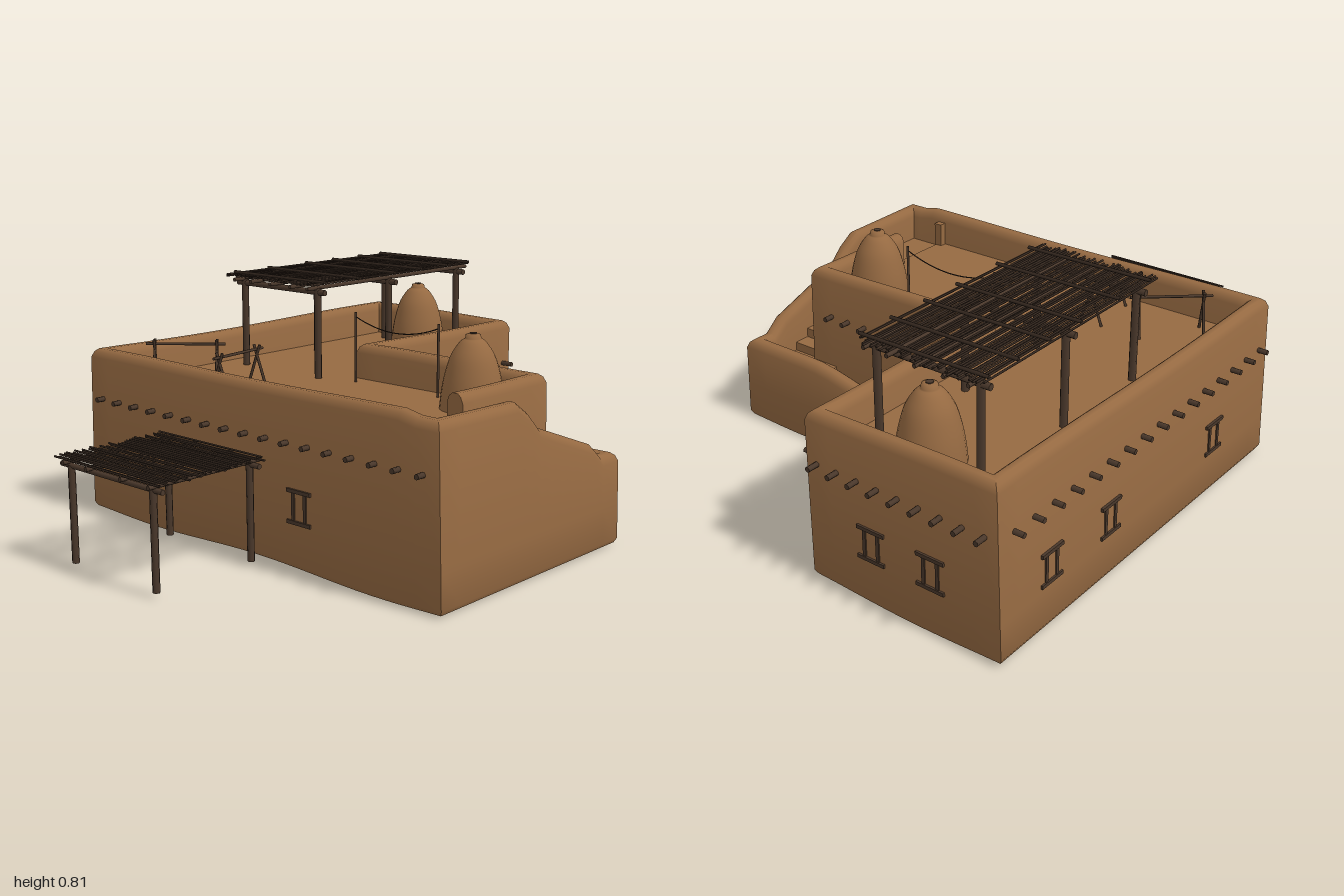
import * as THREE from 'three';
import { toCreasedNormals } from 'three/addons/utils/BufferGeometryUtils.js';

const mat = (name, color) => {
  const m = new THREE.MeshStandardMaterial({ color });
  m.name = name;
  return m;
};
const adobe = mat('adobe', 0x966a42);
const wood = mat('dark wood', 0x4a382b);
const twig = mat('dark twigs', 0x35281f);
const doorWood = mat('door wood', 0x614b3b);

const ROOF = 0.465;
let seed = 7;
const rand = () => (seed = (seed * 16807) % 2147483647) / 2147483647;
const jit = (a) => (rand() * 2 - 1) * a;

function add(parent, name, geo, material, x = 0, y = 0, z = 0) {
  const m = new THREE.Mesh(geo, material);
  m.name = name;
  m.position.set(x, y, z);
  parent.add(m);
  return m;
}
function group(parent, name) {
  const g = new THREE.Group();
  g.name = name;
  parent.add(g);
  return g;
}
// Box given by its minimum and maximum corners
function block(parent, name, a, b, material = adobe) {
  const s = b.map((v, i) => v - a[i]);
  return add(parent, name, new THREE.BoxGeometry(...s), material, ...a.map((v, i) => v + s[i] / 2));
}
// Round pole between two points
function pole(parent, name, a, b, r, material = wood, sides = 7) {
  const p = new THREE.Vector3(...a), d = new THREE.Vector3(...b).sub(p);
  const m = add(parent, name, new THREE.CylinderGeometry(r, r, d.length(), sides), material);
  m.position.copy(p).addScaledVector(d, 0.5);
  m.quaternion.setFromUnitVectors(new THREE.Vector3(0, 1, 0), d.normalize());
  return m;
}

// Height of the wall top: level parapet, sloping down beside the stairs
function wallTop(x, z) {
  const wave = 0.006 * Math.sin(5 * x + 1.5) * Math.cos(4 * z);
  if (z < -0.28 && x > 0.1) return 0.26 + 0.055 * THREE.MathUtils.smoothstep(x, 0.15, 0.5) + wave * 0.5;
  if (x > 0.69 && z < 0.15) {
    const t = (0.15 - z) / 0.5;
    return 0.565 - 0.06 * THREE.MathUtils.smoothstep(t, 0, 0.2) - 0.185 * Math.min(t, 1);
  }
  return (x > 0.69 ? 0.57 : 0.582) + wave;
}
// Uneven foot of the walls
const wallFoot = (x) => 0.012 + 0.008 * Math.cos(2 * Math.PI * (x - 0.05));

// Rounded wall section swept along the plan of the house
function wallGeometry() {
  const plan = [[0.6, 0.23], [0.6, -0.17], [-0.11, -0.17], [-0.11, -0.93], [-0.74, -0.93],
    [-0.74, 0.505], [0.76, 0.505], [0.76, -0.345], [0.16, -0.345]];
  const section = (f, h) => [[-0.022, f], [-0.03, f + 0.015], [-0.03, 0.14], [-0.03, h - 0.03],
    [-0.022, h - 0.01], [-0.01, h], [0.01, h], [0.022, h - 0.01], [0.03, h - 0.03],
    [0.03, 0.14], [0.03, f + 0.015], [0.022, f]];
  const normals = plan.slice(1).map(([x, z], i) => {
    const dx = x - plan[i][0], dz = z - plan[i][1], l = Math.hypot(dx, dz);
    return [dz / l, -dx / l];
  });
  const pos = [], idx = [];
  let rings = 0;
  const ring = (x, z, n) => {
    for (const [o, y] of section(wallFoot(x), wallTop(x, z))) {
      const low = 1 - Math.min(y / 0.58, 1);
      pos.push((x + n[0] * o) * (1 + 0.022 * low), y, z + n[1] * o);
    }
    rings++;
  };
  normals.forEach((n, i) => {
    const [x0, z0] = plan[i], [x1, z1] = plan[i + 1];
    const steps = Math.ceil(Math.hypot(x1 - x0, z1 - z0) / 0.06);
    for (let s = 0; s < steps; s++) {
      const t = s / steps, prev = normals[i - 1];
      ring(x0 + (x1 - x0) * t, z0 + (z1 - z0) * t, s === 0 && prev ? [n[0] + prev[0], n[1] + prev[1]] : n);
    }
  });
  ring(...plan[plan.length - 1], normals[normals.length - 1]);
  const k = 12;
  for (let r = 0; r < rings - 1; r++) {
    for (let j = 0; j < k; j++) {
      const a = r * k + j, b = r * k + (j + 1) % k, c = a + k, d = b + k;
      idx.push(a, c, b, b, c, d);
    }
  }
  const e = (rings - 1) * k;
  for (let j = 1; j < k - 1; j++) idx.push(0, j, j + 1, e, e + j + 1, e + j);
  const g = new THREE.BufferGeometry();
  g.setAttribute('position', new THREE.Float32BufferAttribute(pos, 3));
  g.setIndex(idx);
  return toCreasedNormals(g, 0.8);
}

function buildWindow(parent, x, y, z, turn) {
  const w = group(parent, 'window');
  w.position.set(x, y, z);
  w.rotation.y = turn;
  for (const s of [-1, 1]) {
    add(w, 'windowBeam', new THREE.BoxGeometry(0.1, 0.012, 0.03), wood, 0, s * 0.05, 0);
    add(w, 'windowPost', new THREE.BoxGeometry(0.012, 0.1, 0.024), wood, s * 0.025, 0, 0);
  }
}

export function createModel() {
  const model = new THREE.Group();
  model.name = 'adobeHouse';

  // Walls and roof deck
  add(model, 'walls', wallGeometry(), adobe);
  block(model, 'wingDeck', [-0.745, 0.02, -0.93], [-0.11, ROOF, 0.505]);
  block(model, 'mainDeck', [-0.11, 0.02, -0.17], [0.6, ROOF, 0.505]);
  block(model, 'stairLanding', [0.6, 0.02, 0.17], [0.765, ROOF - 0.015, 0.505]);
  block(model, 'parapetStub', [0.575, ROOF - 0.02, 0.45], [0.605, 0.55, 0.5]);

  // Two flights of stairs
  const stairs = group(model, 'stairs');
  for (let i = 0; i < 6; i++) {
    block(stairs, 'lowerStep', [0.2 + i * 0.066, 0.02, -0.345],
      [i === 5 ? 0.765 : 0.266 + i * 0.066, 0.053 + i * 0.033, -0.17]);
  }
  for (let i = 0; i < 6; i++) {
    block(stairs, 'upperStep', [0.6, 0.02, -0.19 + i * 0.06], [0.765, 0.25 + i * 0.034, -0.13 + i * 0.06]);
  }
  block(stairs, 'stairFloor', [0.16, 0.02, -0.345], [0.21, 0.03, -0.17]);

  // Roof beam ends sticking out of the walls
  const beams = group(model, 'beamEnds');
  const beamRow = (n, from, to, place) => {
    for (let i = 0; i < n; i++) {
      const [a, b] = place(from + (to - from) * i / (n - 1));
      pole(beams, 'beamEnd', a, b, 0.009);
    }
  };
  const by = 0.413;
  beamRow(17, -0.71, 0.735, (x) => [[x, by, 0.5], [x, by, 0.565]]);
  beamRow(16, -0.89, 0.48, (z) => [[-0.74, by, z], [-0.81, by, z]]);
  beamRow(9, -0.92, -0.24, (z) => [[-0.11, by, z], [-0.035, by, z]]);
  beamRow(9, -0.73, -0.12, (x) => [[x, by, -0.93], [x, by, -1]]);
  beamRow(8, 0, 0.54, (x) => [[x, by, -0.17], [x, by, -0.235]]);

  // Windows and door
  for (const x of [-0.47, 0.245]) buildWindow(model, x, 0.216, 0.527, 0);
  for (const x of [-0.54, -0.32]) buildWindow(model, x, 0.216, -0.952, 0);
  for (const z of [-0.72, -0.42, 0.19]) buildWindow(model, -0.773, 0.216, z, Math.PI / 2);
  const door = group(model, 'door');
  block(door, 'doorPanel', [-0.085, 0.02, -0.69], [-0.076, 0.235, -0.56], doorWood);
  for (const z of [-0.7, -0.562]) block(door, 'doorPost', [-0.09, 0.02, z], [-0.072, 0.238, z + 0.01], wood);
  block(door, 'doorLintel', [-0.09, 0.23, -0.7], [-0.072, 0.24, -0.552], wood);

  // Domed ovens on the roof
  const profile = new THREE.SplineCurve([[0.106, 0], [0.1, 0.06], [0.09, 0.115], [0.072, 0.175], [0.045, 0.218],
    [0.026, 0.233]].map((p) => new THREE.Vector2(...p))).getPoints(16);
  profile.push(new THREE.Vector2(0.024, 0.245), new THREE.Vector2(0.014, 0.248), new THREE.Vector2(0, 0.248));
  for (const [x, z] of [[0.46, -0.035], [-0.415, -0.8]]) {
    add(model, 'dome', new THREE.LatheGeometry(profile, 28), adobe, x, ROOF - 0.005, z);
    add(model, 'smokeHole', new THREE.CylinderGeometry(0.012, 0.012, 0.004, 10), wood, x, ROOF + 0.244, z);
  }

  // Rooftop shade
  const shade = group(model, 'roofShade');
  for (const z of [-0.045, -0.42, -0.815]) {
    for (const x of [-0.605, -0.235]) pole(shade, 'shadePost', [x, ROOF, z], [x, 0.785, z], 0.013);
    pole(shade, 'shadeCrossBeam', [-0.64, 0.77, z], [-0.2, 0.77, z], 0.011);
  }
  for (const x of [-0.605, -0.52, -0.42, -0.32, -0.235]) {
    pole(shade, 'shadeLongBeam', [x, 0.786, 0.01], [x, 0.786, -0.87], 0.007);
  }
  for (let i = 0; i < 42; i++) {
    const x = -0.64 + 0.435 * i / 41 + jit(0.004), y = 0.801 + jit(0.002);
    pole(shade, 'shadeStick', [x, y, 0.015 + jit(0.015)], [x + jit(0.004), y, -0.865 + jit(0.018)], 0.0036, twig, 5);
  }
  for (const z of [-0.83, -0.7, -0.55, -0.4, -0.2, -0.03]) {
    pole(shade, 'shadeBinder', [-0.645, 0.808, z], [-0.195, 0.808, z + jit(0.01)], 0.006, twig);
  }

  // Front awning
  const awning = group(model, 'awning');
  for (const z of [0.585, 0.965]) {
    for (const x of [-0.312, 0.08]) pole(awning, 'awningPost', [x, 0.02, z], [x, 0.335, z], 0.012);
    pole(awning, 'awningCrossBeam', [-0.36, 0.334, z], [0.125, 0.334, z], 0.009);
  }
  for (const x of [-0.32, -0.205, -0.04, 0.09]) {
    pole(awning, 'awningLongBeam', [x, 0.346, 0.55], [x, 0.346, 0.992], 0.008);
  }
  for (let i = 0; i < 30; i++) {
    const z = 0.565 + 0.425 * i / 29 + jit(0.003), y = 0.357 + jit(0.002);
    pole(awning, 'awningStick', [-0.365 + jit(0.018), y, z], [0.125 + jit(0.018), y, z + jit(0.004)], 0.0036, twig, 5);
  }

  // Clothesline
  const line = group(model, 'clothesline');
  for (const x of [-0.095, 0.275]) pole(line, 'linePost', [x, ROOF, -0.088], [x, 0.71, -0.088], 0.0045);
  const rope = new THREE.QuadraticBezierCurve3(new THREE.Vector3(-0.095, 0.695, -0.088),
    new THREE.Vector3(0.09, 0.62, -0.088), new THREE.Vector3(0.275, 0.695, -0.088));
  add(line, 'rope', new THREE.TubeGeometry(rope, 20, 0.002, 5), twig);

  // Drying racks on crossed legs
  for (const [ax, az, bx, bz] of [[-0.63, 0.405, -0.42, 0.225], [-0.277, 0.185, -0.246, 0.435]]) {
    const rack = group(model, 'dryingRack');
    const l = Math.hypot(bx - ax, bz - az), dx = (bx - ax) / l, dz = (bz - az) / l;
    pole(rack, 'rackBar', [ax, 0.6, az], [bx, 0.6, bz], 0.005);
    for (const t of [0.03, l - 0.03]) {
      const x = ax + dx * t, z = az + dz * t;
      for (const s of [-0.042, 0.042]) {
        pole(rack, 'rackLeg', [x + dz * s, ROOF, z - dx * s], [x - dz * s * 0.3, 0.615, z + dx * s * 0.3], 0.005);
      }
    }
  }
  return model;
}
